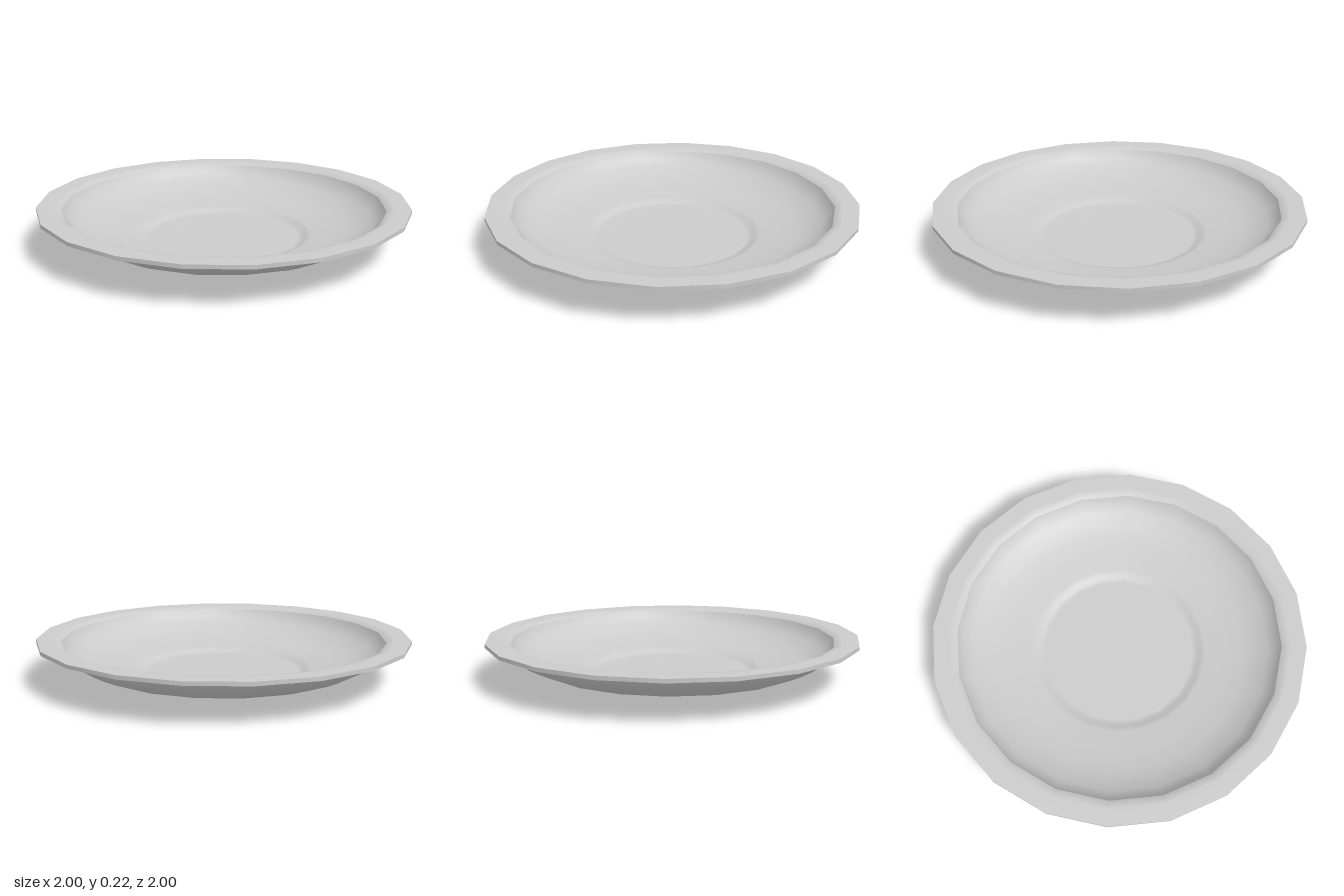
import * as THREE from 'three';

const SIDES = 20;

export function createModel() {
  const group = new THREE.Group();
  group.name = 'plate';
  const material = new THREE.MeshStandardMaterial({ color: 0xcccccc });

  // Revolves one smooth stretch of the profile; hard edges lie between stretches
  const turn = (name, profile) => {
    const points = profile.map(([r, y]) => new THREE.Vector2(r, y));
    const mesh = new THREE.Mesh(new THREE.LatheGeometry(points, SIDES), material);
    mesh.name = name;
    group.add(mesh);
  };

  // Flat foot and rounded outer wall
  turn('underside', [
    [0, 0], [0.43, 0], [0.455, 0.006], [0.475, 0.022], [0.5, 0.032], [0.6, 0.047],
    [0.72, 0.07], [0.79, 0.102], [0.85, 0.135], [0.89, 0.172], [0.91, 0.205],
  ]);

  // Thin flat rim
  turn('rimUnderside', [[0.91, 0.205], [1, 0.205]]);
  turn('rimEdge', [[1, 0.205], [1, 0.225]]);
  turn('rimTop', [[1, 0.225], [0.915, 0.225], [0.89, 0.222], [0.87, 0.21]]);

  // Bowl interior with a shallow sunken well
  turn('interior', [
    [0.87, 0.21], [0.85, 0.172], [0.81, 0.138], [0.75, 0.108], [0.69, 0.085],
    [0.58, 0.063], [0.48, 0.05], [0.455, 0.043], [0.435, 0.029], [0.41, 0.024], [0, 0.024],
  ]);

  return group;
}
